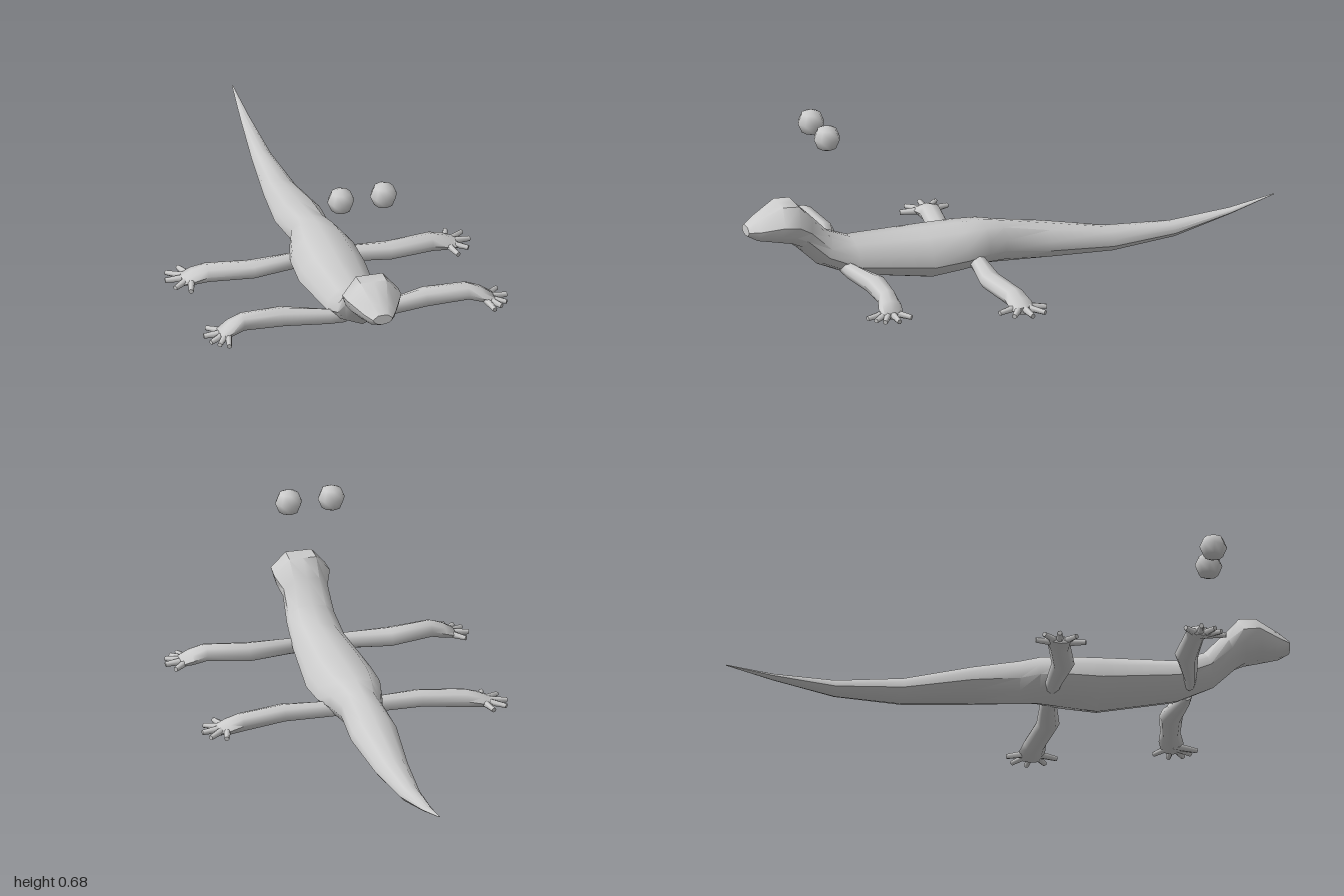
import * as THREE from 'three';
import { toCreasedNormals } from 'three/addons/utils/BufferGeometryUtils.js';

const skin = new THREE.MeshStandardMaterial({ color: 0xcccccc });
skin.name = 'pale grey';

// Skin a list of closed rings and cap both ends; winding is made outward
function loft(rings, crease) {
  const n = rings[0].length, pos = [], idx = [];
  const pts = rings.flat();
  rings.forEach((ring, r) => {
    for (let i = 0; i < n && r < rings.length - 1; i++) {
      const a = r * n + i, b = r * n + (i + 1) % n;
      idx.push([a, b, b + n], [a, b + n, a + n]);
    }
  });
  const last = (rings.length - 1) * n;
  for (const [start, flip] of [[0, true], [last, false]]) {
    const c = new THREE.Vector3();
    for (let i = 0; i < n; i++) c.addScaledVector(pts[start + i], 1 / n);
    pts.push(c);
    for (let i = 0; i < n; i++) {
      const a = start + i, b = start + (i + 1) % n;
      idx.push(flip ? [b, a, pts.length - 1] : [a, b, pts.length - 1]);
    }
  }
  let volume = 0;
  for (const [a, b, c] of idx) volume += pts[a].dot(pts[b].clone().cross(pts[c]));
  if (volume < 0) idx.forEach((t) => t.reverse());
  pts.forEach((p) => pos.push(p.x, p.y, p.z));
  const geo = new THREE.BufferGeometry();
  geo.setAttribute('position', new THREE.Float32BufferAttribute(pos, 3));
  geo.setIndex(idx.flat());
  geo.computeVertexNormals();
  return toCreasedNormals(geo, crease);
}

function add(parent, geo, name) {
  const mesh = new THREE.Mesh(geo, skin);
  mesh.name = name;
  parent.add(mesh);
  return mesh;
}

// Half outlines of a section, from the back ridge to the belly keel
const trunkHalf = [[0, 1], [0.58, 0.86], [0.95, 0.35], [1, -0.15], [0.68, -0.65], [0, -1]];
const headHalf = [[0, 1], [0.48, 1], [1, 0.15], [0.88, -0.4], [0.55, -0.85], [0, -1]];

// Section from its top point, bottom point and half width
function bodyRing([topZ, topY, botZ, botY, w, head]) {
  const half = trunkHalf.map(([x, y], i) => [
    THREE.MathUtils.lerp(x, headHalf[i][0], head), THREE.MathUtils.lerp(y, headHalf[i][1], head)]);
  const full = [...half, ...half.slice(1, -1).reverse().map(([x, y]) => [-x, y])];
  return full.map(([x, y]) => {
    const t = (1 - y) / 2;
    return new THREE.Vector3(x * w, THREE.MathUtils.lerp(topY, botY, t), THREE.MathUtils.lerp(topZ, botZ, t));
  });
}

const bodySections = [
  [-0.995, 0.127, -0.995, 0.124, 0.002, 0],
  [-0.83, 0.097, -0.83, 0.077, 0.017, 0],
  [-0.61, 0.08, -0.61, 0.022, 0.036, 0],
  [-0.37, 0.095, -0.37, 0.005, 0.06, 0],
  [-0.13, 0.147, -0.13, 0.018, 0.085, 0],
  [0.04, 0.183, 0.04, 0.026, 0.074, 0],
  [0.11, 0.196, 0.11, 0.03, 0.097, 0],
  [0.2, 0.198, 0.2, 0.021, 0.118, 0],
  [0.34, 0.2, 0.32, 0.01, 0.122, 0],
  [0.6, 0.205, 0.6, 0.062, 0.096, 0],
  [0.69, 0.242, 0.73, 0.122, 0.087, 0],
  [0.76, 0.315, 0.81, 0.2, 0.083, 0.3],
  [0.815, 0.37, 0.845, 0.225, 0.102, 1],
  [0.875, 0.375, 0.9, 0.238, 0.098, 1],
  [0.96, 0.332, 0.965, 0.25, 0.058, 1],
  [0.998, 0.307, 1.0, 0.272, 0.036, 1],
];

// Limb sections: x, y, z, half height, half depth
const limbs = [
  {
    name: 'front',
    sections: [
      [0.04, 0.115, 0.642, 0.028, 0.02], [0.1, 0.117, 0.638, 0.03, 0.024],
      [0.26, 0.126, 0.608, 0.034, 0.042], [0.41, 0.135, 0.622, 0.032, 0.036],
      [0.46, 0.12, 0.63, 0.026, 0.044], [0.5, 0.105, 0.638, 0.014, 0.04],
    ],
    toes: [[0.53, 0.576], [0.553, 0.63], [0.54, 0.68], [0.515, 0.705], [0.485, 0.725]],
    palm: [0.465, 0.634], toeY: 0.102,
  },
  {
    name: 'back',
    sections: [
      [0.04, 0.073, 0.155, 0.028, 0.028], [0.1, 0.074, 0.157, 0.03, 0.03],
      [0.25, 0.072, 0.172, 0.031, 0.041], [0.41, 0.066, 0.142, 0.033, 0.04],
      [0.46, 0.057, 0.138, 0.025, 0.046], [0.5, 0.048, 0.138, 0.014, 0.04],
    ],
    toes: [[0.488, 0.05], [0.54, 0.075], [0.556, 0.128], [0.535, 0.19], [0.488, 0.228]],
    palm: [0.462, 0.138], toeY: 0.048,
  },
];

function makeLimb({ name, sections, toes, palm, toeY }, side) {
  const limb = new THREE.Group();
  limb.name = (side > 0 ? 'left' : 'right') + (name === 'front' ? 'FrontLeg' : 'BackLeg');
  const rings = sections.map(([x, y, z, ry, rz]) => Array.from({ length: 8 }, (_, i) => {
    const a = (i / 8) * Math.PI * 2;
    return new THREE.Vector3(side * x, y + ry * Math.cos(a), z + rz * Math.sin(a));
  }));
  add(limb, loft(rings, 1.1), 'leg');
  // Splayed toes with blunt ends
  for (const [x, z] of toes) {
    const from = new THREE.Vector3(side * palm[0], toeY + 0.006, palm[1]);
    const to = new THREE.Vector3(side * x, toeY, z);
    const dir = to.clone().sub(from);
    const toe = add(limb, new THREE.CylinderGeometry(0.009, 0.015, dir.length(), 6), 'toe');
    toe.position.copy(from).addScaledVector(dir, 0.5);
    toe.quaternion.setFromUnitVectors(new THREE.Vector3(0, 1, 0), dir.normalize());
  }
  return limb;
}

export function createModel() {
  const model = new THREE.Group();
  model.name = 'lizard';
  add(model, loft(bodySections.map(bodyRing), 0.75), 'body');
  for (const side of [1, -1]) {
    for (const limb of limbs) model.add(makeLimb(limb, side));
    // Eyeballs hover above the head
    const eye = add(model, new THREE.SphereGeometry(0.049, 8, 4), side > 0 ? 'leftEye' : 'rightEye');
    eye.position.set(side * 0.078, 0.631, 0.722);
  }
  return model;
}
